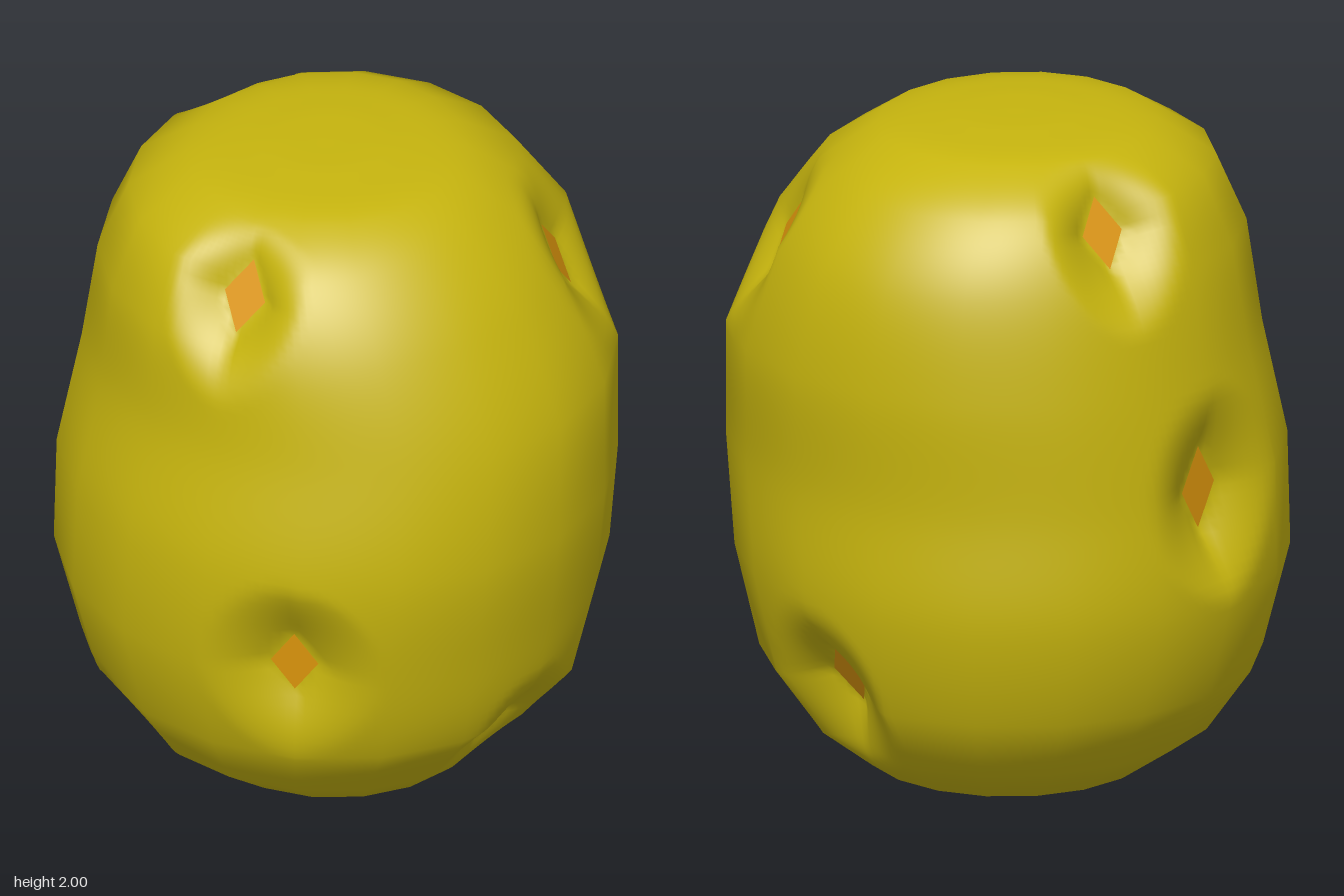
import * as THREE from 'three';
import { mergeVertices } from 'three/addons/utils/BufferGeometryUtils.js';

const skin = new THREE.MeshStandardMaterial({ color: 0xc6b40e });
skin.name = 'yellow skin';
const eyeColor = new THREE.MeshStandardMaterial({ color: 0xdd960c });
eyeColor.name = 'orange eye';

// Cross-sections from bottom to top: y, x radius, x centre, z radius, z centre
const rings = [
  [0, 0, 0, 0, 0],
  [0.015, 0.2, 0, 0.2, 0],
  [0.075, 0.41, 0, 0.41, -0.01],
  [0.2, 0.58, 0, 0.57, -0.03],
  [0.39, 0.7, 0, 0.715, -0.02],
  [0.69, 0.77, -0.005, 0.79, -0.02],
  [1.02, 0.768, -0.01, 0.805, 0.005],
  [1.36, 0.738, 0.033, 0.765, 0.015],
  [1.66, 0.692, 0.027, 0.67, -0.02],
  [1.86, 0.578, 0.013, 0.548, -0.05],
  [1.965, 0.405, 0.01, 0.39, -0.05],
  [1.995, 0.2, 0.01, 0.19, -0.05],
  [2, 0, 0.01, 0, -0.05],
];
const SIDES = 18;
const STEP = (2 * Math.PI) / SIDES;

// Dents: centre of the floor, tilt of its outward normal in degrees,
// half width and half height of the diamond floor, and whether it holds an eye
const dents = [
  { at: [0.405, 1.62, 0.455], tilt: 23, half: [0.08, 0.107], eye: true },
  { at: [0.185, 1.775, -0.495], tilt: 25, half: [0.064, 0.105], eye: true },
  { at: [-0.497, 1.775, 0.07], tilt: 27, half: [0.066, 0.107], eye: true },
  { at: [0, 1.01, -0.69], tilt: 0, half: [0.072, 0.122], eye: true },
  { at: [0.57, 0.435, 0.1], tilt: -31, half: [0.065, 0.105], eye: true },
  { at: [-0.42, 0.22, -0.26], tilt: -42, half: [0.066, 0.105], eye: true },
  { at: [-0.585, 0.7, 0.32], tilt: -3, half: [0.068, 0.095], eye: true },
  { at: [0.01, 0.29, 0.53], tilt: -30, half: [0.068, 0.09], eye: false },
];

// Local frame of a dent: across, along, outward; it reaches about one side of the body each way
function dentFrame({ at, tilt, half, eye }) {
  const centre = new THREE.Vector3(...at);
  const a = THREE.MathUtils.degToRad(tilt);
  const flat = new THREE.Vector3(at[0], 0, at[2]).normalize();
  const out = flat.clone().multiplyScalar(Math.cos(a)).setY(Math.sin(a));
  const across = new THREE.Vector3(0, 1, 0).cross(flat).normalize();
  const along = out.clone().cross(across);
  const reach = [Math.hypot(at[0], at[2]) * STEP + 0.03, 0.31];
  return { centre, out, across, along, half, reach, eye };
}

// Press a point towards the floor of a dent, fading out from the diamond to the reach
function press(p, f) {
  const d = p.clone().sub(f.centre);
  const h = d.dot(f.out);
  if (h < -0.3) return;
  const u = Math.abs(d.dot(f.across)), v = Math.abs(d.dot(f.along));
  const e = Math.hypot(u / f.reach[0], v / f.reach[1]);
  const q = u / f.half[0] + v / f.half[1];
  const edge = 1.1 * e / Math.max(q, 1e-6);
  const w = THREE.MathUtils.clamp((1 - e) / (1 - edge), 0, 1);
  p.addScaledVector(f.out, -h * w ** (h > 0 ? 1.25 : 4));
}

// Section at t from 0 to 1 (bottom to top), read smoothly or in straight steps
const smoothX = new THREE.CatmullRomCurve3(
  rings.map((r) => new THREE.Vector3(r[1], r[0], r[2])), false, 'catmullrom', 0.5);
const smoothZ = new THREE.CatmullRomCurve3(
  rings.map((r) => new THREE.Vector3(r[3], r[0], r[4])), false, 'catmullrom', 0.5);
function smoothSection(t) {
  const a = smoothX.getPoint(t), b = smoothZ.getPoint(t);
  return [a.y, a.x, a.z, b.x, b.z];
}
function steppedSection(t) {
  const i = Math.min(Math.floor(t * (rings.length - 1)), rings.length - 2);
  const k = t * (rings.length - 1) - i;
  return rings[i].map((value, n) => THREE.MathUtils.lerp(value, rings[i + 1][n], k));
}

// Sphere reshaped by the cross-sections, then pressed in at each dent
function reshape(sphere, frames, section, faceted) {
  const geo = sphere.clone();
  const pos = geo.attributes.position;
  const p = new THREE.Vector3();
  for (let i = 0; i < pos.count; i++) {
    p.fromBufferAttribute(pos, i);
    const t = 1 - Math.acos(THREE.MathUtils.clamp(p.y, -1, 1)) / Math.PI;
    const angle = Math.atan2(p.x, p.z);
    const within = angle - Math.floor(angle / STEP) * STEP - STEP / 2;
    const k = faceted ? Math.cos(STEP / 2) / Math.cos(within) : 1;
    const [y, rx, cx, rz, cz] = section(t);
    p.set(cx + Math.sin(angle) * rx * k, y, cz + Math.cos(angle) * rz * k);
    for (const f of frames) press(p, f);
    pos.setXYZ(i, p.x, p.y, p.z);
  }
  return geo;
}

// Low-poly outline carrying the normals of the smooth shape
function bodyGeometry(frames) {
  let sphere = new THREE.SphereGeometry(1, SIDES * 10, 132);
  sphere.deleteAttribute('uv');
  sphere.deleteAttribute('normal');
  sphere = mergeVertices(sphere, 1e-5);
  const smooth = reshape(sphere, frames, smoothSection, false);
  smooth.computeVertexNormals();
  const body = reshape(sphere, frames, steppedSection, true);
  body.setAttribute('normal', smooth.attributes.normal);
  return body;
}

export function createModel() {
  const model = new THREE.Group();
  model.name = 'potato';
  const frames = dents.map(dentFrame);

  const body = new THREE.Mesh(bodyGeometry(frames), skin);
  body.name = 'body';
  model.add(body);

  // Diamond eyes lying on the dent floors
  const diamond = new THREE.ShapeGeometry(new THREE.Shape([
    new THREE.Vector2(1, 0), new THREE.Vector2(0, 1),
    new THREE.Vector2(-1, 0), new THREE.Vector2(0, -1),
  ]));
  const eyes = new THREE.Group();
  eyes.name = 'eyes';
  for (const f of frames.filter((fr) => fr.eye)) {
    const eye = new THREE.Mesh(diamond, eyeColor);
    eye.name = 'eye';
    eye.scale.set(f.half[0], f.half[1], 1);
    eye.quaternion.setFromRotationMatrix(new THREE.Matrix4().makeBasis(f.across, f.along, f.out));
    eye.position.copy(f.centre).addScaledVector(f.out, 0.005);
    eyes.add(eye);
  }
  model.add(eyes);
  return model;
}
